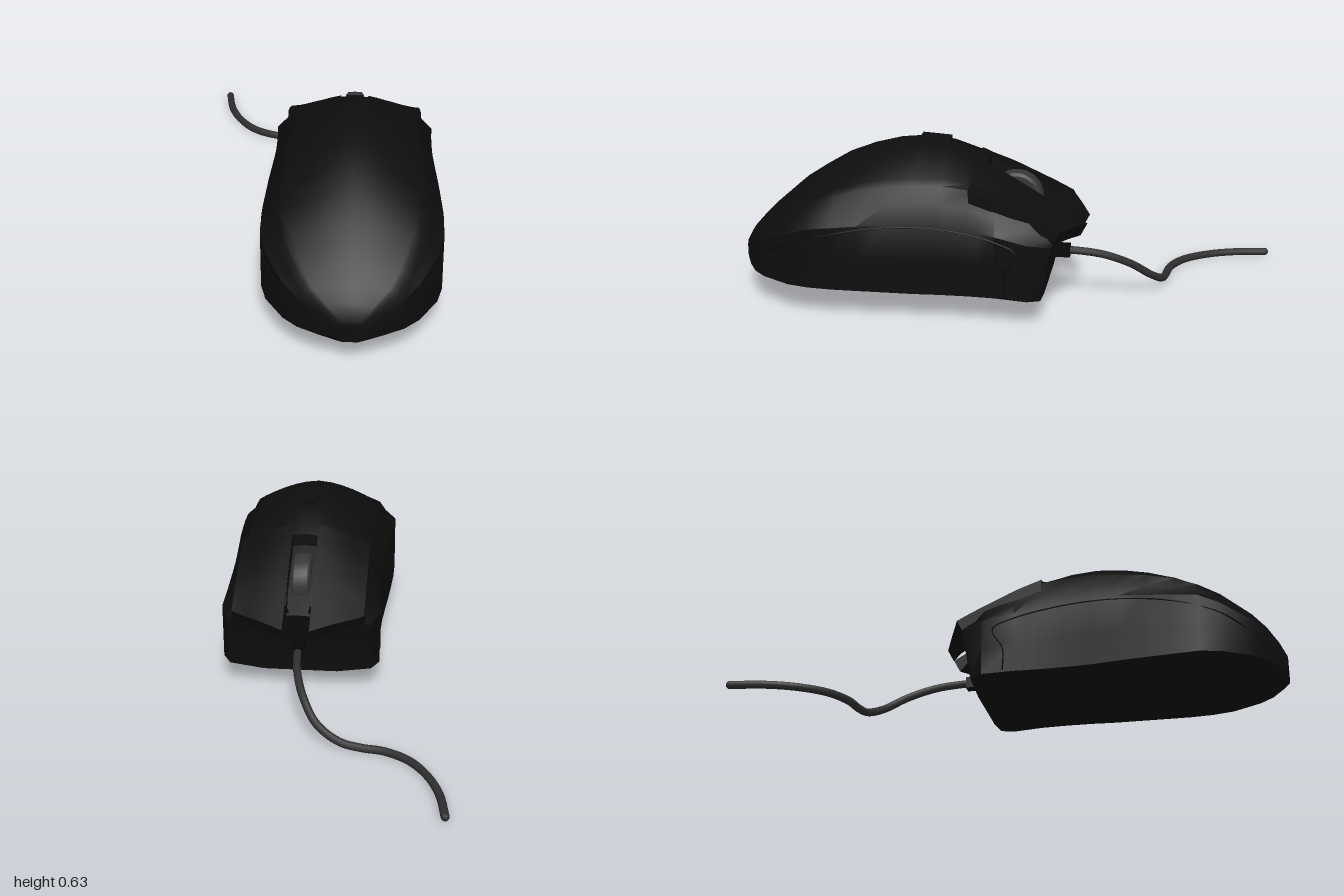
import * as THREE from 'three';
import { toCreasedNormals } from 'three/addons/utils/BufferGeometryUtils.js';

const CX = 0.135; // centre line of the mouse

// z, half width, crown height, shoulder height, side top, side bottom, belly height
const STATIONS = [
  [0.998, 0.05, 0.19, 0.185, 0.17, 0.125, 0.105],
  [0.97, 0.11, 0.24, 0.225, 0.2, 0.115, 0.095],
  [0.93, 0.18, 0.285, 0.265, 0.23, 0.115, 0.09],
  [0.88, 0.23, 0.335, 0.305, 0.26, 0.115, 0.085],
  [0.77, 0.295, 0.432, 0.375, 0.31, 0.115, 0.08],
  [0.69, 0.315, 0.485, 0.415, 0.34, 0.115, 0.077],
  [0.6, 0.315, 0.54, 0.45, 0.35, 0.112, 0.075],
  [0.5, 0.31, 0.58, 0.475, 0.36, 0.11, 0.075],
  [0.4, 0.304, 0.607, 0.49, 0.37, 0.108, 0.075],
  [0.3, 0.296, 0.618, 0.498, 0.375, 0.105, 0.075],
  [0.2, 0.29, 0.606, 0.5, 0.37, 0.105, 0.075],
  [0.1, 0.289, 0.565, 0.49, 0.36, 0.105, 0.075],
  [0, 0.293, 0.508, 0.455, 0.34, 0.105, 0.075],
  [-0.12, 0.3, 0.436, 0.4, 0.315, 0.1, 0.075],
  [-0.165, 0.27, 0.408, 0.38, 0.3, 0.095, 0.075],
  [-0.31, 0.27, 0.318, 0.305, 0.25, 0.09, 0.075],
];

function station(z) {
  let i = 0;
  while (i < STATIONS.length - 2 && STATIONS[i + 1][0] > z) i++;
  const a = STATIONS[i], b = STATIONS[i + 1];
  const t = THREE.MathUtils.clamp((z - a[0]) / (b[0] - a[0]), 0, 1);
  return a.map((v, k) => v + (b[k] - v) * t);
}

function topY(x, z) {
  const [, w, h, sh] = station(z);
  return h - (h - sh) * Math.min(1, Math.abs(x) / (0.79 * w)) ** 1.7;
}

// Skin closed rings that run clockwise seen from +z, from back to front
function loft(rings, frontHub) {
  const pos = [];
  const tri = (...pts) => pts.forEach((p) => pos.push(...p));
  const n = rings[0].length;
  const mean = (r) => [0, 1, 2].map((k) => r.reduce((s, p) => s + p[k], 0) / n);
  const first = rings[0], last = rings[rings.length - 1];
  const c0 = mean(first), c1 = frontHub || mean(last);
  for (let j = 0; j < n; j++) {
    const k = (j + 1) % n;
    for (let i = 0; i < rings.length - 1; i++) {
      const a = rings[i], b = rings[i + 1];
      tri(a[j], a[k], b[j]);
      tri(a[k], b[k], b[j]);
    }
    tri(c0, first[k], first[j]);
    tri(c1, last[j], last[k]);
  }
  const g = new THREE.BufferGeometry();
  g.setAttribute('position', new THREE.Float32BufferAttribute(pos, 3));
  return toCreasedNormals(g, 0.6);
}

function bodyRing(z) {
  const [, w, , sh, s, b, belly] = station(z);
  const nose = z <= -0.164;
  const recess = z < 0.06 ? 0.045 : 0; // wheel channel
  const half = [];
  for (const f of [0, 0.16, 0.165, 0.3, 0.45, 0.6, 0.7, 0.79]) {
    const x = f * w;
    half.push([x, topY(x, z) - (f < 0.162 ? recess : 0)]);
  }
  half.push([w * 0.87, sh + (s - sh) * 0.5], [w, s], [w, (s + b) / 2], [w, b], [w * 0.52, belly]);
  const full = [...half, ...half.slice(1).reverse().map(([x, y]) => [-x, y])];
  // the nose leans forward as it rises
  return full.map(([x, y]) => nose
    ? [x, y > s + 0.01 ? y - 0.03 : y, z - 0.045 * Math.min(1, Math.max(0, (y - 0.09) / 0.25))]
    : [x, y, z]);
}

function buttonGeometry(side) {
  const rings = [];
  const rows = 8, cols = 6;
  for (let i = 0; i <= rows; i++) {
    const top = [], under = [];
    for (let j = 0; j <= cols; j++) {
      const x = 0.05 + (0.247 - 0.05) * (j / cols);
      const front = -0.312 + 0.42 * (x - 0.05);
      const z = 0.1 + (front - 0.1) * (i / rows);
      const y = topY(x, z) + 0.006;
      top.push([x * side, y, z]);
      under.unshift([x * side, y - 0.048, z + (i === rows ? 0.025 : 0)]);
    }
    const ring = [...top, ...under];
    rings.push(side > 0 ? ring : ring.reverse());
  }
  return loft(rings);
}

export function createModel() {
  const model = new THREE.Group();
  const material = (name, color) => Object.assign(new THREE.MeshStandardMaterial({ color }), { name });
  const shell = material('black shell', 0x0d0d0d);
  const seamBlack = material('seam black', 0x070707);
  const wheelGrey = material('wheel grey', 0x363636);
  const cableGrey = material('cable grey', 0x2e2e2e);

  const mouse = new THREE.Group();
  mouse.name = 'mouse';
  mouse.position.x = CX;
  model.add(mouse);
  const add = (name, geometry, mat, x = 0, y = 0, z = 0, parent = mouse) => {
    const m = new THREE.Mesh(geometry, mat);
    m.name = name;
    m.position.set(x, y, z);
    parent.add(m);
    return m;
  };

  // Palm shell, with an extra station at the channel's back wall
  const zs = STATIONS.slice(0, -1).map((s) => s[0]);
  zs.push(0.061, 0.059);
  zs.sort((a, b) => b - a);
  add('body', loft(zs.map(bodyRing), [0, 0.2, -0.165]), shell);

  // Click buttons and side grip seams
  for (const side of [1, -1]) {
    const label = side > 0 ? 'left' : 'right';
    add(label + 'Button', buttonGeometry(side), shell);
    const seam = [[0.9, 0.2], [0.77, 0.27], [0.6, 0.325], [0.45, 0.352], [0.3, 0.362], [0.15, 0.352], [0, 0.32], [-0.08, 0.28], [-0.04, 0.2], [-0.04, 0.11]]
      .map(([z, y]) => new THREE.Vector3(side * station(z)[1], y, z));
    add(label + 'GripSeam', new THREE.TubeGeometry(new THREE.CatmullRomCurve3(seam), 60, 0.003, 5), seamBlack);
  }

  // Scroll wheel
  const profile = [[0, -0.034], [0.088, -0.034], [0.098, -0.026], [0.1, 0], [0.098, 0.026], [0.088, 0.034], [0, 0.034]]
    .map(([r, y]) => new THREE.Vector2(r, y));
  const wheel = add('scrollWheel', toCreasedNormals(new THREE.LatheGeometry(profile, 32), 0.6), wheelGrey, 0, 0.4, -0.042);
  wheel.rotation.z = Math.PI / 2;

  // Sensitivity button on the crown
  const mode = add('modeButton', new THREE.BoxGeometry(0.056, 0.02, 0.11), shell, 0, 0.613, 0.26);
  mode.rotation.x = -0.06;

  // Cable with its strain relief
  add('cableCollar', new THREE.BoxGeometry(0.04, 0.045, 0.08), seamBlack, 0, 0.195, -0.205);
  const path = [
    [0.135, 0.195, -0.2], [0.134, 0.195, -0.27], [0.122, 0.18, -0.37], [0.09, 0.137, -0.47],
    [0.035, 0.075, -0.545], [-0.05, 0.03, -0.585], [-0.13, 0.016, -0.597], [-0.21, 0.015, -0.61],
    [-0.3, 0.015, -0.66], [-0.37, 0.015, -0.75], [-0.415, 0.015, -0.86], [-0.437, 0.015, -0.985],
  ].map((p) => new THREE.Vector3(...p));
  const curve = new THREE.CatmullRomCurve3(path);
  add('cable', new THREE.TubeGeometry(curve, 90, 0.015, 10), cableGrey, 0, 0, 0, model);
  add('cableEnd', new THREE.SphereGeometry(0.015, 10, 8), cableGrey, -0.437, 0.015, -0.985, model);

  return model;
}
